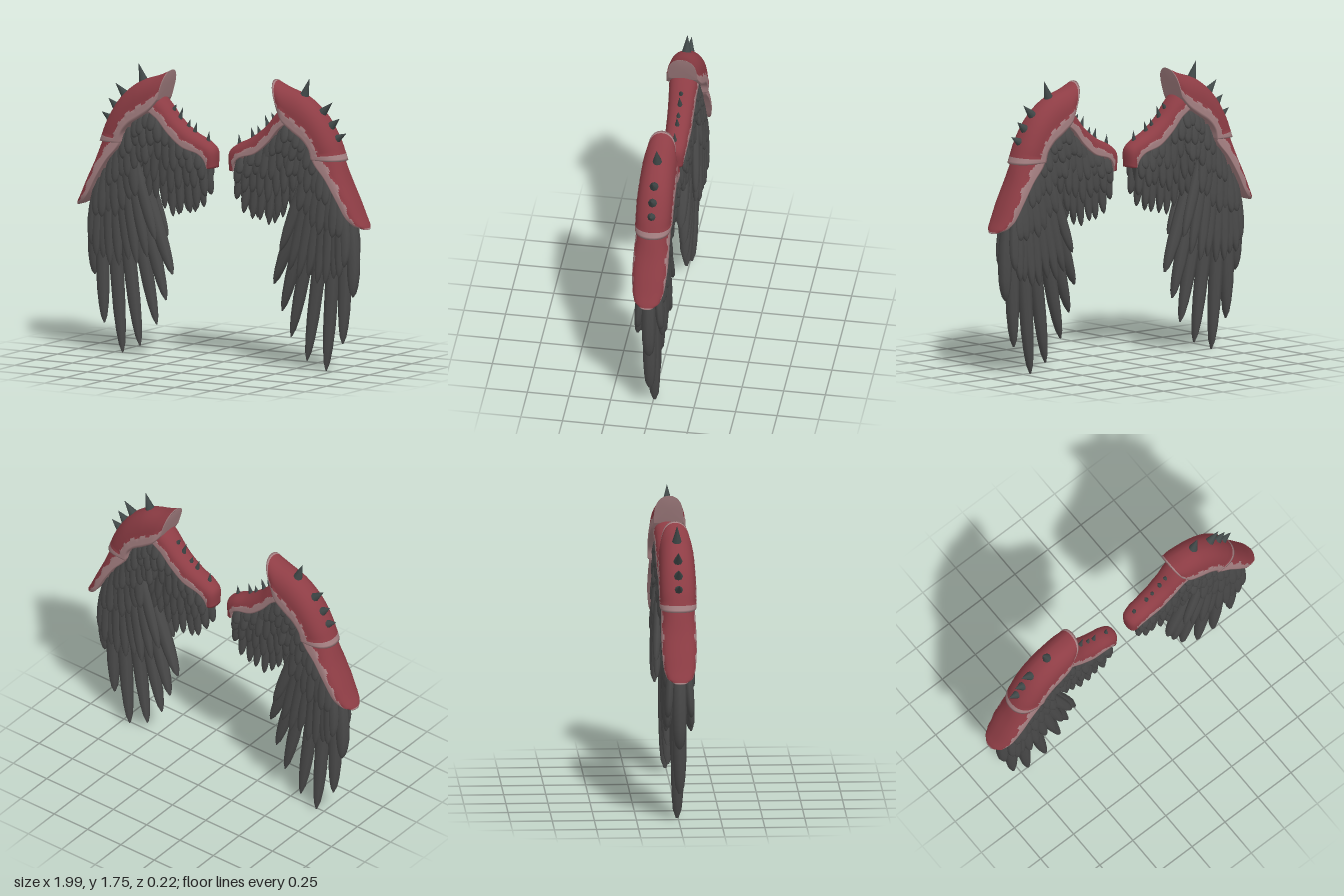
import * as THREE from 'three';
import { mergeGeometries, mergeVertices } from 'three/addons/utils/BufferGeometryUtils.js';

const mat = (name, color) => {
  const m = new THREE.MeshStandardMaterial({ color });
  m.name = name;
  return m;
};

const curve = (pts) => new THREE.CatmullRomCurve3(pts.map((p) => new THREE.Vector3(p[0], p[1], p[2] || 0)));

function indexed(pos, idx) {
  const g = new THREE.BufferGeometry();
  g.setAttribute('position', new THREE.Float32BufferAttribute(pos, 3));
  g.setIndex(idx);
  g.computeVertexNormals();
  return g;
}

// Rounded armour shell: each row is [outerX, outerY, innerX, innerY, halfDepth, trimWidth].
// Group 0 is the plate, group 1 the trim along the inner edge and the chosen end rows.
function shell(rows, { trimStart = 0, trimEnd = 0, wave = 0.03, steps = 48 } = {}) {
  const us = [0, 0.08, 0.16, 0.22, 0.28, 0.34, 0.4, 0.46, 0.52, 0.58, 0.66, 0.75, 0.84, 0.91, 0.96, 0.985, 1];
  const loop = [...us.map((u) => [u, 1]), ...us.slice(0, -1).reverse().map((u) => [u, -1])];
  const outer = curve(rows.map((r) => [r[0], r[1]]));
  const inner = curve(rows.map((r) => [r[2], r[3]]));
  const depth = curve(rows.map((r) => [r[4], r[5]]));
  const n = loop.length, pos = [], plate = [], trim = [];
  const a = outer.getPoint(0.45), b = outer.getPoint(0.55), c = inner.getPoint(0.5);
  const flip = (b.x - a.x) * (a.y - c.y) - (b.y - a.y) * (a.x - c.x) < 0;
  const tri = (list, p, q, r) => (flip ? list.push(p, r, q) : list.push(p, q, r));
  const isTrim = (i, u, w) => i < trimStart || i >= steps - trimEnd || u < w;
  const widths = [];
  for (let i = 0; i <= steps; i++) {
    const t = i / steps, o = outer.getPoint(t), p = inner.getPoint(t), d = depth.getPoint(t);
    widths.push(d.y + wave * Math.sin(i * 0.8));
    for (const [u, s] of loop) {
      const raise = isTrim(i, u, widths[i]) ? 1.04 : 1;
      const z = s * d.x * raise * Math.sqrt(Math.max(0, 1 - u ** 3.6));
      pos.push(p.x + (o.x - p.x) * u, p.y + (o.y - p.y) * u, z);
    }
  }
  for (let i = 0; i < steps; i++) {
    for (let j = 0; j < n; j++) {
      const k = (j + 1) % n, u = (loop[j][0] + loop[k][0]) / 2;
      const list = isTrim(i, u, widths[i]) ? trim : plate;
      const A = i * n + j, B = A + n, C = (i + 1) * n + k, D = i * n + k;
      tri(list, A, B, C);
      tri(list, A, C, D);
    }
  }
  // End caps
  for (const [i, end, trimRows] of [[0, false, trimStart], [steps, true, trimEnd]]) {
    const o = outer.getPoint(i / steps), p = inner.getPoint(i / steps), centre = pos.length / 3;
    const list = trimRows ? trim : plate;
    pos.push((o.x + p.x) / 2, (o.y + p.y) / 2, 0);
    for (let j = 0; j < n; j++) {
      const A = i * n + j, B = i * n + (j + 1) % n;
      end ? tri(list, centre, B, A) : tri(list, centre, A, B);
    }
  }
  const g = indexed(pos, [...plate, ...trim]);
  g.addGroup(0, plate.length, 0);
  g.addGroup(plate.length, trim.length, 1);
  return g;
}

// One feather: a lens-shaped section swept along a bent path
function feather(base, tip, halfWidth, thick, bend) {
  const mid = base.clone().lerp(tip, 0.55);
  mid.x += bend;
  const path = new THREE.QuadraticBezierCurve3(base, mid, tip);
  const profile = [[0, 0.5], [0.15, 0.75], [0.35, 0.95], [0.55, 1], [0.75, 0.88], [0.87, 0.65], [0.95, 0.38], [1, 0.04]];
  const sides = 8, pos = [], idx = [];
  profile.forEach(([t, w], i) => {
    const p = path.getPoint(t), d = path.getTangent(t);
    for (let j = 0; j < sides; j++) {
      const a = (j / sides) * Math.PI * 2;
      const s = Math.cos(a) * w * halfWidth;
      pos.push(p.x - d.y * s, p.y + d.x * s, p.z + Math.sin(a) * thick * Math.sqrt(w));
      if (i === 0) continue;
      const k = (j + 1) % sides, A = (i - 1) * sides + j, D = (i - 1) * sides + k;
      idx.push(A, D, D + sides, A, D + sides, A + sides);
    }
  });
  return indexed(pos, idx);
}

// A row of feathers from a base line to a tip line, on the front and back when z is not 0
function featherRow(bases, tips, n, halfWidth, thick, z0, z1, bend = 0.02) {
  const from = curve(bases), to = curve(tips), list = [];
  for (const s of z1 ? [1, -1] : [1]) {
    for (let i = 0; i < n; i++) {
      const t = i / (n - 1), a = from.getPoint(t), b = to.getPoint(t);
      a.z = s * z0;
      b.z = s * (z1 + 0.006 * Math.sin(i * 2.4));
      if (z1) b.y += 0.018 * Math.sin(i * 2.1 + z1 * 50);
      list.push(feather(a, b, halfWidth, thick, bend));
    }
  }
  return mergeGeometries(list);
}

// Spikes given as [baseX, baseY, tipX, tipY]
function spikes(list, radius) {
  return mergeGeometries(list.map(([bx, by, tx, ty]) => {
    const dir = new THREE.Vector3(tx - bx, ty - by, 0), len = dir.length();
    const g = new THREE.ConeGeometry(radius, len, 8);
    g.translate(0, len / 2, 0);
    g.applyQuaternion(new THREE.Quaternion().setFromUnitVectors(new THREE.Vector3(0, 1, 0), dir.normalize()));
    return g.translate(bx, by, 0);
  }));
}

function mirrored(geo) {
  const g = geo.index ? geo.clone() : mergeVertices(geo);
  g.scale(-1, 1, 1);
  const a = g.index.array;
  for (let i = 0; i < a.length; i += 3) [a[i], a[i + 1]] = [a[i + 1], a[i]];
  return g;
}

export function createModel() {
  const red = mat('armourRed', 0x8e3d45);
  const pale = mat('trimPale', 0xa58082);
  const dark = mat('featherGrey', 0x4a4a4a);
  const steel = mat('spikeSteel', 0x404848);
  const armour = [red, pale];
  const parts = [];
  const add = (name, geo, material) => parts.push({ name, geo, material });

  // Armour along the leading edge
  add('upperPlate', shell([
    [0.355, 1.735, 0.41, 1.56, 0.082, 0.3], [0.43, 1.7, 0.455, 1.5, 0.1, 0.34], [0.57, 1.65, 0.53, 1.445, 0.105, 0.3],
    [0.69, 1.555, 0.6, 1.4, 0.106, 0.3], [0.785, 1.41, 0.645, 1.345, 0.106, 0.28], [0.838, 1.28, 0.66, 1.285, 0.104, 0.3],
  ], { trimStart: 2, trimEnd: 3 }), armour);
  add('lowerPlate', shell([
    [0.77, 1.39, 0.65, 1.35, 0.085, 0.3], [0.82, 1.28, 0.665, 1.275, 0.095, 0.45], [0.865, 1.16, 0.75, 1.175, 0.1, 0.58],
    [0.92, 1.04, 0.825, 1.06, 0.1, 0.5], [0.962, 0.95, 0.89, 0.95, 0.09, 0.45], [0.986, 0.905, 0.935, 0.905, 0.072, 0.5],
    [0.997, 0.88, 0.97, 0.884, 0.035, 0.6],
  ], { trimEnd: 3, wave: 0.09 }), armour);
  add('innerArm', shell([
    [0.45, 1.61, 0.5, 1.5, 0.085, 0.35], [0.375, 1.535, 0.42, 1.445, 0.08, 0.42], [0.3, 1.45, 0.345, 1.36, 0.075, 0.42],
    [0.2, 1.375, 0.25, 1.285, 0.072, 0.42], [0.1, 1.325, 0.14, 1.25, 0.067, 0.38], [0.05, 1.28, 0.105, 1.215, 0.06, 0.28],
    [0.048, 1.17, 0.09, 1.165, 0.05, 0.1],
  ], { wave: 0.06 }), armour);

  // Spikes
  add('outerSpikes', spikes([
    [0.55, 1.64, 0.588, 1.755], [0.67, 1.55, 0.748, 1.625], [0.73, 1.475, 0.795, 1.53], [0.765, 1.4, 0.842, 1.445],
  ], 0.032), steel);
  add('innerSpikes', spikes([
    [0.11, 1.31, 0.102, 1.385], [0.205, 1.36, 0.185, 1.435], [0.25, 1.39, 0.232, 1.445], [0.305, 1.44, 0.282, 1.515],
    [0.35, 1.49, 0.325, 1.53],
  ], 0.017), steel);

  // Solid core beneath the feathers
  const outline = [[0.1, 1.2], [0.25, 1.3], [0.42, 1.47], [0.56, 1.43], [0.7, 1.3], [0.84, 1.08], [0.87, 1], [0.62, 1],
    [0.54, 1.16], [0.45, 1.1], [0.3, 1.02], [0.12, 1.08]];
  const core = new THREE.ExtrudeGeometry(new THREE.Shape(outline.map((p) => new THREE.Vector2(...p))),
    { depth: 0.08, bevelEnabled: false });
  add('featherCore', core.translate(0, 0, -0.04), dark);

  // Long flight feathers, then shorter rows stacked outwards
  add('flightFeathers', featherRow(
    [[0.872, 1], [0.83, 1.08], [0.77, 1.15], [0.72, 1.2], [0.67, 1.22], [0.63, 1.23], [0.6, 1.23]],
    [[0.888, 0.465], [0.82, 0.18], [0.7, 0.008], [0.575, 0.06], [0.463, 0.195], [0.4, 0.345], [0.35, 0.505]],
    7, 0.043, 0.042, 0, 0, 0.018), dark);
  add('secondaryFeathers', featherRow(
    [[0.845, 1.02], [0.8, 1.08], [0.75, 1.15], [0.7, 1.2], [0.65, 1.22], [0.6, 1.23]],
    [[0.868, 0.66], [0.81, 0.57], [0.73, 0.55], [0.63, 0.56], [0.53, 0.58], [0.43, 0.7]],
    9, 0.038, 0.026, 0.045, 0.07, 0.015), dark);
  add('longCoverts', featherRow([[0.815, 1.06], [0.75, 1.17], [0.68, 1.24], [0.61, 1.29]],
    [[0.835, 0.84], [0.75, 0.83], [0.65, 0.88], [0.56, 0.98]], 7, 0.04, 0.022, 0.05, 0.078, 0.01), dark);
  add('middleCoverts', featherRow([[0.725, 1.22], [0.67, 1.31], [0.59, 1.37], [0.52, 1.36]],
    [[0.745, 1.03], [0.66, 1.06], [0.57, 1.13], [0.49, 1.18]], 7, 0.036, 0.02, 0.05, 0.08, 0), dark);
  add('upperCoverts', featherRow([[0.65, 1.34], [0.6, 1.4], [0.52, 1.45], [0.45, 1.45]],
    [[0.65, 1.2], [0.58, 1.24], [0.49, 1.28], [0.41, 1.28]], 6, 0.036, 0.02, 0.052, 0.078, 0), dark);
  add('topCoverts', featherRow([[0.57, 1.43], [0.52, 1.46], [0.46, 1.48]],
    [[0.57, 1.33], [0.52, 1.35], [0.46, 1.38]], 4, 0.034, 0.018, 0.055, 0.078, 0), dark);

  // Inner feathers hanging from the arm
  add('innerLongFeathers', featherRow([[0.13, 1.22], [0.22, 1.27], [0.32, 1.3], [0.41, 1.32], [0.48, 1.32]],
    [[0.108, 0.98], [0.2, 0.9], [0.3, 0.865], [0.4, 0.915], [0.495, 0.98]], 8, 0.031, 0.022, 0.03, 0.036, 0.01), dark);
  add('innerMiddleFeathers', featherRow([[0.13, 1.24], [0.25, 1.29], [0.36, 1.34], [0.48, 1.38]],
    [[0.118, 1.09], [0.24, 1.03], [0.37, 1.02], [0.505, 1.09]], 8, 0.032, 0.02, 0.045, 0.056, 0.01), dark);
  add('innerShortFeathers', featherRow([[0.15, 1.25], [0.27, 1.3], [0.38, 1.39], [0.48, 1.44]],
    [[0.14, 1.16], [0.25, 1.14], [0.36, 1.15], [0.47, 1.21]], 7, 0.033, 0.018, 0.046, 0.066, 0), dark);
  add('innerTopFeathers', featherRow([[0.24, 1.29], [0.34, 1.37], [0.43, 1.45]],
    [[0.21, 1.21], [0.32, 1.24], [0.41, 1.33]], 5, 0.033, 0.016, 0.046, 0.064, 0), dark);

  // Assemble both wings
  const model = new THREE.Group();
  model.name = 'armouredWings';
  for (const side of ['left', 'right']) {
    const wing = new THREE.Group();
    wing.name = side + 'Wing';
    for (const { name, geo, material } of parts) {
      const mesh = new THREE.Mesh(side === 'left' ? geo : mirrored(geo), material);
      mesh.name = name;
      wing.add(mesh);
    }
    model.add(wing);
  }
  return model;
}
